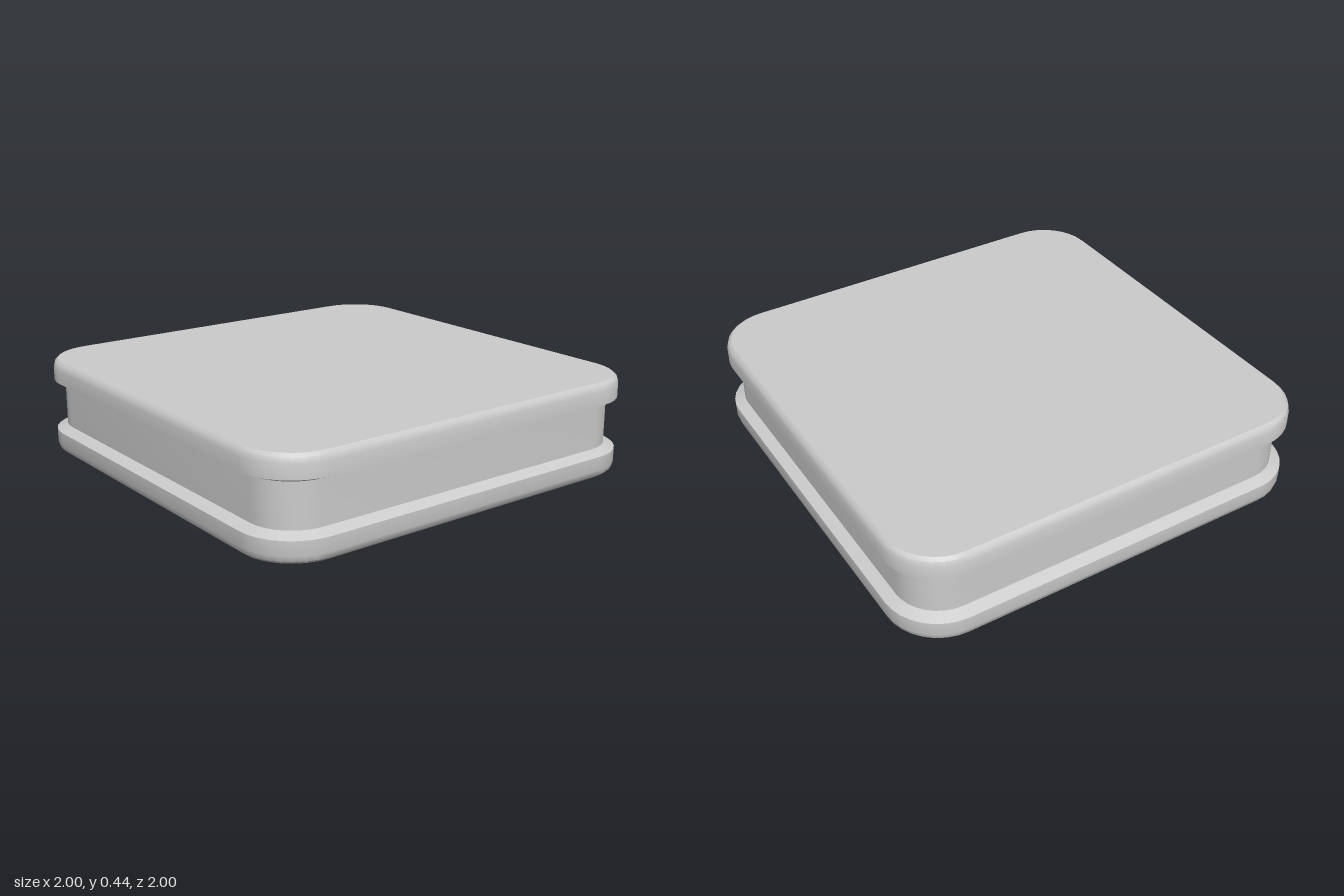
import * as THREE from 'three';
import { toCreasedNormals } from 'three/addons/utils/BufferGeometryUtils.js';

const RADIUS = 0.25, CORNER_STEPS = 8;

// Rounded-square outline at a given inset; inset 1 collapses to the centre
function outline(inset, y) {
  const r = Math.max(RADIUS - inset, 0);
  const c = 1 - RADIUS - Math.max(inset - RADIUS, 0);
  const points = [];
  for (let corner = 0; corner < 4; corner++) {
    const mid = (corner + 0.5) * Math.PI / 2;
    for (let s = 0; s <= CORNER_STEPS; s++) {
      const a = (corner + s / CORNER_STEPS) * Math.PI / 2;
      points.push(
        Math.sign(Math.cos(mid)) * c + r * Math.cos(a), y,
        Math.sign(Math.sin(mid)) * c + r * Math.sin(a));
    }
  }
  return points;
}

// Skin a bottom-to-top profile of [inset, y] pairs
function band(name, profile, material) {
  const n = 4 * (CORNER_STEPS + 1);
  const index = [];
  for (let k = 0; k < profile.length - 1; k++) {
    for (let i = 0; i < n; i++) {
      const a = k * n + i, b = k * n + (i + 1) % n;
      if (profile[k + 1][0] < 1) index.push(a, a + n, b + n);
      if (profile[k][0] < 1) index.push(a, b + n, b);
    }
  }
  const geometry = new THREE.BufferGeometry();
  geometry.setAttribute('position',
    new THREE.Float32BufferAttribute(profile.flatMap(([inset, y]) => outline(inset, y)), 3));
  geometry.setIndex(index);
  const mesh = new THREE.Mesh(toCreasedNormals(geometry, 0.6), material);
  mesh.name = name;
  return mesh;
}

export function createModel() {
  const group = new THREE.Group();
  group.name = 'groovedBlock';
  const grey = new THREE.MeshStandardMaterial({ color: 0xcccccc });

  const height = 0.44, waist = 0.05;
  // Lower rim: flat base, eased edge, sloping shoulder; the upper rim mirrors it
  const rim = [[1, 0], [0.022, 0], [0.007, 0.013], [0, 0.038], [0, 0.1], [waist, 0.122]];
  const upper = rim.map(([inset, y]) => [inset, height - y]).reverse();

  group.add(
    band('lowerRim', rim, grey),
    band('recessedWaist', [rim.at(-1), upper[0]], grey),
    band('upperRim', upper, grey));
  return group;
}
